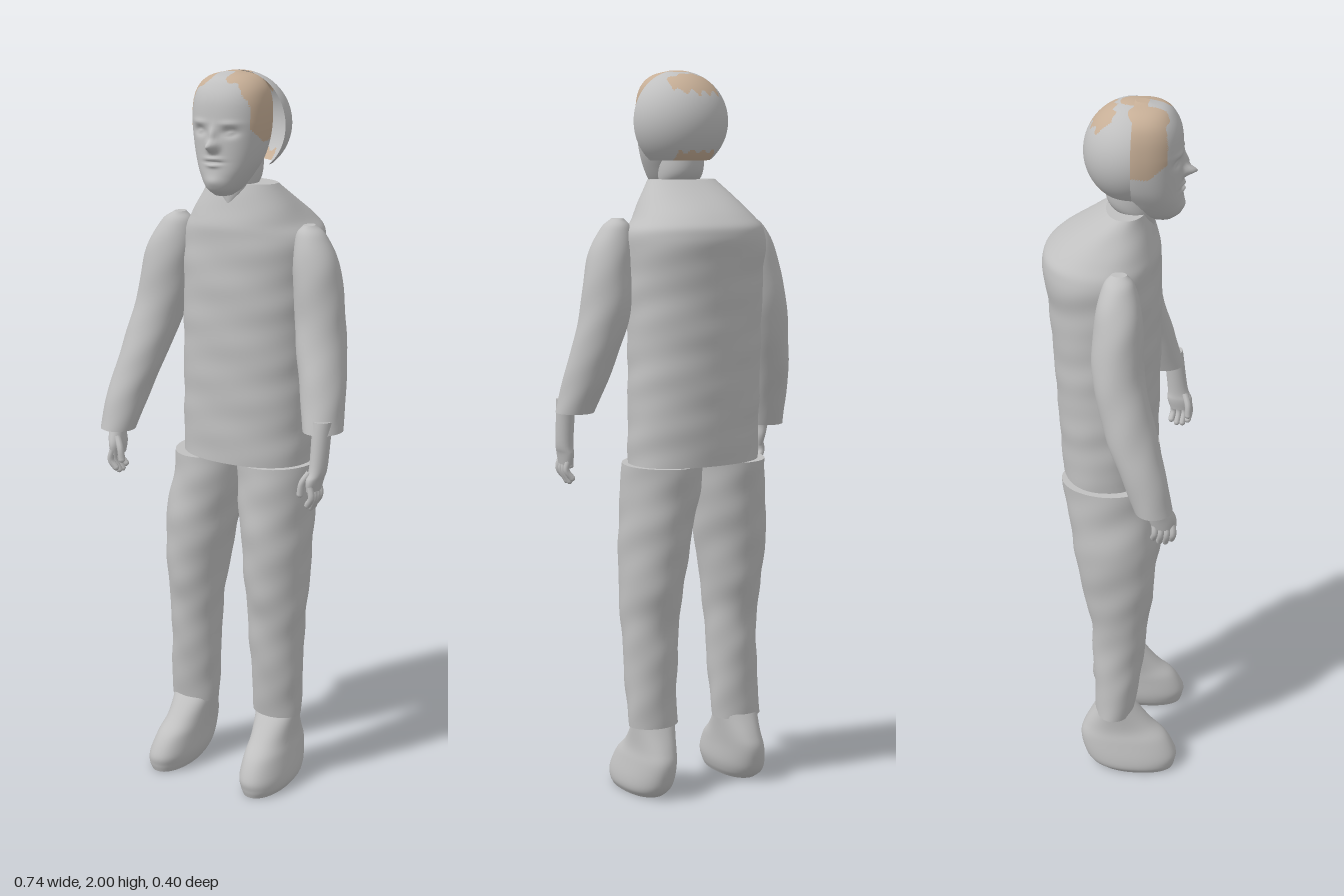
import * as THREE from 'three';

const plain = new THREE.MeshStandardMaterial({ name: 'plainGrey', color: 0xc0c0c0, side: THREE.DoubleSide });
const tan = new THREE.MeshStandardMaterial({ name: 'hairTan', color: 0xc6ae96, side: THREE.DoubleSide });

// Smooth body through level sections [y, centreX, centreZ, radiusX, radiusZ], listed upwards
function loft(sections, { sides = 40, steps = 48, power = 2, wrinkle = 0, freq = 30, shape } = {}) {
  const centre = new THREE.CatmullRomCurve3(sections.map(s => new THREE.Vector3(s[1], s[0], s[2])), false, 'catmullrom', 0.5);
  const radius = new THREE.CatmullRomCurve3(sections.map(s => new THREE.Vector3(s[3], 0, s[4])), false, 'catmullrom', 0.5);
  const pos = [], idx = [];
  const bend = v => Math.sign(v) * Math.pow(Math.abs(v), 2 / power);
  for (let i = 0; i <= steps; i++) {
    const c = centre.getPoint(i / steps), r = radius.getPoint(i / steps);
    for (let j = 0; j < sides; j++) {
      const a = (j / sides) * Math.PI * 2;
      const w = 1 + wrinkle * (Math.sin(c.y * freq + 2 * Math.sin(a * 2)) + 0.6 * Math.sin(c.y * freq * 1.7 + a * 3));
      const p = new THREE.Vector3(c.x + r.x * w * bend(Math.cos(a)), c.y, c.z + r.z * w * bend(Math.sin(a)));
      if (shape) shape(p);
      pos.push(p.x, p.y, p.z);
    }
  }
  for (let i = 0; i < steps; i++) for (let j = 0; j < sides; j++) {
    const a = i * sides + j, b = i * sides + (j + 1) % sides;
    idx.push(a, a + sides, b, b, a + sides, b + sides);
  }
  // End caps with their own corners, so the rims stay sharp
  for (const top of [false, true]) {
    const row = (top ? steps : 0) * sides, start = pos.length / 3;
    for (let j = 0; j < sides; j++) pos.push(...pos.slice((row + j) * 3, (row + j) * 3 + 3));
    const c = centre.getPoint(top ? 1 : 0);
    pos.push(c.x, c.y, c.z);
    for (let j = 0; j < sides; j++) {
      const a = start + j, b = start + (j + 1) % sides;
      idx.push(start + sides, top ? b : a, top ? a : b);
    }
  }
  const geo = new THREE.BufferGeometry();
  geo.setAttribute('position', new THREE.Float32BufferAttribute(pos, 3));
  geo.setIndex(idx);
  geo.computeVertexNormals();
  return geo;
}

// Sort faces into plain and tan groups by a rule on their centres
function paint(geo, isTan) {
  const p = geo.attributes.position, src = geo.index.array, lists = [[], []];
  for (let i = 0; i < src.length; i += 3) {
    const t = [src[i], src[i + 1], src[i + 2]];
    const mean = f => (f(t[0]) + f(t[1]) + f(t[2])) / 3;
    const hit = isTan(mean(k => p.getX(k)), mean(k => p.getY(k)), mean(k => p.getZ(k)));
    lists[hit ? 1 : 0].push(...t);
  }
  geo.setIndex([...lists[0], ...lists[1]]);
  geo.clearGroups();
  geo.addGroup(0, lists[0].length, 0);
  geo.addGroup(lists[0].length, lists[1].length, 1);
  return geo;
}

function add(parent, name, geo, mat = plain) {
  const m = new THREE.Mesh(geo, mat);
  m.name = name;
  parent.add(m);
  return m;
}

// Face relief: [offset from middle, y, width, height, depth]
const relief = [
  [0, 1.817, 0.014, 0.014, 0.036], [0, 1.845, 0.009, 0.02, 0.014],
  [-0.045, 1.853, 0.019, 0.011, -0.012], [0.045, 1.853, 0.019, 0.011, -0.012],
  [-0.045, 1.852, 0.010, 0.005, 0.007], [0.045, 1.852, 0.010, 0.005, 0.007],
  [-0.045, 1.876, 0.025, 0.007, 0.004], [0.045, 1.876, 0.025, 0.007, 0.004],
  [0, 1.784, 0.022, 0.005, 0.008], [0, 1.767, 0.018, 0.005, 0.007],
  [0, 1.775, 0.025, 0.003, -0.005], [0, 1.725, 0.025, 0.015, 0.006],
];
const faceX = 0.02;
function sculptFace(p) {
  if (p.z < 0.1) return;
  let dz = 0;
  for (const [x, y, w, h, d] of relief) dz += d * Math.exp(-(((p.x - faceX - x) / w) ** 2) - ((p.y - y) / h) ** 2);
  p.z += dz;
}

function finger(parent, name, points, r) {
  const curve = new THREE.CatmullRomCurve3(points.map(p => new THREE.Vector3(...p)));
  add(parent, name, new THREE.TubeGeometry(curve, 8, r, 8));
  const tip = add(parent, name + 'Tip', new THREE.SphereGeometry(r, 8, 6));
  tip.position.set(...points[points.length - 1]);
}

function makeHand(side, x, wristTop) {
  const hand = new THREE.Group();
  hand.name = side > 0 ? 'leftHand' : 'rightHand';
  add(hand, 'palm', loft([
    [0.935, x - side * 0.002, 0.15, 0.015, 0.03], [0.965, x, 0.147, 0.02, 0.036],
    [1.0, x + side * 0.006, 0.14, 0.023, 0.029], [wristTop, x + side * 0.008, 0.125, 0.026, 0.028],
  ], { sides: 20, steps: 16 }));
  for (let i = 0; i < 4; i++) {
    const z = 0.127 + i * 0.016, end = 0.888 + (i === 0 || i === 3 ? 0.01 : 0);
    finger(hand, 'finger', [[x, 0.95, z], [x + side * 0.006, 0.92, z + 0.002], [x - side * 0.008, end, z - 0.003]], 0.009);
  }
  finger(hand, 'thumb', [[x - side * 0.008, 0.985, 0.162], [x - side * 0.025, 0.955, 0.173], [x - side * 0.03, 0.925, 0.174]], 0.0095);
  return hand;
}

function makeFoot(x, lean) {
  return loft([
    [0, x + lean, 0.07, 0.052, 0.108], [0.02, x + lean, 0.06, 0.063, 0.124], [0.05, x + lean * 0.8, 0.052, 0.066, 0.134],
    [0.1, x + lean * 0.5, 0.033, 0.061, 0.126], [0.14, x + lean * 0.2, 0.016, 0.058, 0.097], [0.2, x, 0.005, 0.062, 0.054],
  ], { power: 2.2, steps: 30 });
}

export function createModel() {
  const model = new THREE.Group();
  model.name = 'standingFigure';

  // Jacket with sloping shoulders
  add(model, 'jacket', loft([
    [0.945, 0.015, -0.022, 0.19, 0.13], [1.1, 0.015, -0.026, 0.19, 0.136], [1.28, 0.015, -0.03, 0.19, 0.143],
    [1.45, 0.018, -0.036, 0.193, 0.15], [1.56, 0.022, -0.045, 0.196, 0.155],
    [1.615, 0.022, -0.033, 0.167, 0.138], [1.71, 0.025, 0.022, 0.1, 0.055],
  ], { sides: 56, steps: 72, power: 2.2, wrinkle: 0.006, freq: 45 }));

  // Sleeves
  const sleeve = { steps: 40, wrinkle: 0.012, freq: 32 };
  add(model, 'rightSleeve', loft([
    [1.0, -0.323, 0.125, 0.05, 0.05], [1.1, -0.305, 0.095, 0.06, 0.06], [1.2, -0.28, 0.062, 0.066, 0.067],
    [1.35, -0.24, 0.025, 0.074, 0.068], [1.5, -0.208, 0.022, 0.071, 0.062],
    [1.58, -0.187, 0.02, 0.047, 0.042], [1.61, -0.178, 0.02, 0.015, 0.02],
  ], sleeve));
  add(model, 'leftSleeve', loft([
    [1.085, 0.318, 0.1, 0.052, 0.057], [1.2, 0.295, 0.062, 0.062, 0.066], [1.35, 0.265, 0.025, 0.068, 0.068],
    [1.5, 0.25, 0.022, 0.062, 0.062], [1.58, 0.232, 0.02, 0.042, 0.042], [1.61, 0.226, 0.02, 0.015, 0.02],
  ], sleeve));
  model.add(makeHand(-1, -0.308, 1.04), makeHand(1, 0.323, 1.12));

  // Trousers
  const trouser = { steps: 56, wrinkle: 0.013, freq: 36 };
  add(model, 'rightTrouserLeg', loft([
    [0.185, -0.147, 0.005, 0.072, 0.055], [0.3, -0.14, 0.012, 0.073, 0.066], [0.4, -0.135, 0.015, 0.071, 0.075],
    [0.5, -0.133, 0.017, 0.076, 0.081], [0.6, -0.13, 0.012, 0.085, 0.1], [0.75, -0.12, 0.002, 0.1, 0.115],
    [0.86, -0.102, -0.01, 0.1, 0.121], [0.945, -0.095, -0.02, 0.1, 0.125],
  ], trouser));
  add(model, 'leftTrouserLeg', loft([
    [0.2, 0.128, 0.005, 0.072, 0.055], [0.3, 0.133, 0.012, 0.073, 0.066], [0.4, 0.131, 0.015, 0.077, 0.075],
    [0.5, 0.132, 0.017, 0.082, 0.081], [0.6, 0.13, 0.012, 0.088, 0.1], [0.75, 0.123, 0.002, 0.097, 0.115],
    [0.86, 0.115, -0.01, 0.105, 0.121], [0.945, 0.112, -0.02, 0.108, 0.125],
  ], trouser));

  // Shoes
  add(model, 'rightShoe', makeFoot(-0.145, -0.023));
  add(model, 'leftShoe', makeFoot(0.13, 0.012));

  // Neck, narrowing into the collar
  add(model, 'neck', loft([
    [1.655, faceX, 0.08, 0.008, 0.012], [1.69, faceX, 0.055, 0.045, 0.04],
    [1.73, faceX, 0.035, 0.06, 0.065], [1.82, faceX, 0.03, 0.06, 0.07],
  ], { steps: 20 }));

  // Head with sculpted face, hair at the temples and crown
  const head = loft([
    [1.685, faceX, 0.11, 0.022, 0.028], [1.705, faceX, 0.103, 0.045, 0.058], [1.74, faceX, 0.092, 0.068, 0.074],
    [1.78, faceX, 0.078, 0.087, 0.086], [1.83, faceX, 0.07, 0.099, 0.094], [1.88, faceX, 0.068, 0.104, 0.097],
    [1.93, faceX, 0.066, 0.101, 0.094], [1.965, faceX, 0.064, 0.088, 0.08],
    [1.988, faceX, 0.062, 0.06, 0.058], [2.0, faceX, 0.06, 0.015, 0.018],
  ], { sides: 96, steps: 100, power: 2.2, shape: sculptFace });
  paint(head, (x, y, z) => y > 1.825 + Math.max(0, z - 0.08) * 0.8
    && z < 0.128 + 0.004 * Math.sin(x * 160)
    && !(Math.abs(x - 0.012) < 0.022 && z > 0.075));
  add(model, 'head', head, [plain, tan]);

  // Open half shell of hair behind the head
  const shell = new THREE.SphereGeometry(1, 80, 60, Math.PI, Math.PI, 0, 2.45);
  shell.scale(0.138, 0.135, 0.132);
  shell.translate(0.025, 1.865, 0.04);
  paint(shell, (x, y, z) => {
    const dx = x - 0.02, ragged = 0.005 * Math.sin(x * 180);
    const crown = y > 1.9 && Math.abs(dx) < 0.07 && z < -0.008 + ragged && z > -0.07 + dx * dx * 5 + ragged;
    const parting = y > 1.9 && Math.hypot(x - 0.025, z - 0.035) < 0.032;
    const nape = y < 1.785 + ragged && Math.abs(dx) < 0.06;
    return crown || parting || nape;
  });
  add(model, 'hairShell', shell, [plain, tan]);

  return model;
}
